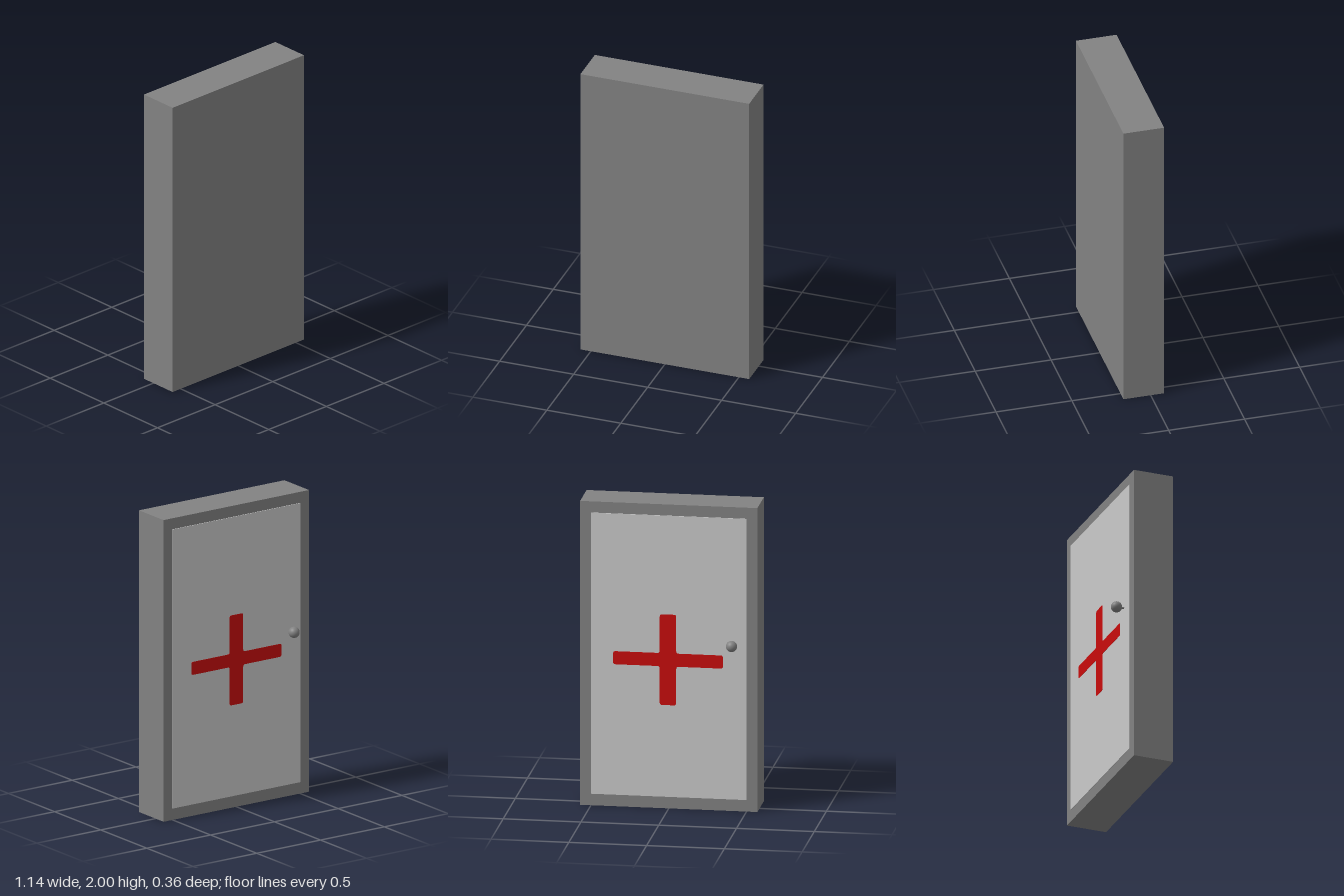
import * as THREE from 'three';

export function createModel() {
  const model = new THREE.Group();
  const mat = (name, color) => {
    const m = new THREE.MeshStandardMaterial({ color });
    m.name = name;
    return m;
  };
  const grey = mat('frame grey', 0x828282);
  const pale = mat('door pale grey', 0xcacaca);
  const red = mat('cross red', 0xc80c0c);

  const add = (name, geometry, material, x, y, z) => {
    const mesh = new THREE.Mesh(geometry, material);
    mesh.name = name;
    mesh.position.set(x, y, z);
    model.add(mesh);
    return mesh;
  };

  // Solid cabinet body
  add('body', new THREE.BoxGeometry(1.14, 2, 0.268), grey, 0, 1, 0.046);

  // Thin door panel on the back face
  add('doorPanel', new THREE.BoxGeometry(1, 1.85, 0.006), pale, 0, 1.002, -0.09);

  // Cross outline: rounded arm tips and small fillets in the inner corners
  const X = 0.353, Y = 0.298, w = 0.053, h = 0.043, r = 0.015;
  const corners = [
    [X, -h], [X, h], [w, h], [w, Y], [-w, Y], [-w, h],
    [-X, h], [-X, -h], [-w, -h], [-w, -Y], [w, -Y], [w, -h],
  ].map(([x, y]) => new THREE.Vector2(x, y));
  const cross = new THREE.Shape();
  corners.forEach((c, i) => {
    const n = corners.length;
    const toward = (p) => p.clone().sub(c).setLength(r).add(c);
    const a = toward(corners[(i + n - 1) % n]);
    const b = toward(corners[(i + 1) % n]);
    if (i === 0) cross.moveTo(a.x, a.y);
    else cross.lineTo(a.x, a.y);
    cross.quadraticCurveTo(c.x, c.y, b.x, b.y);
  });
  cross.closePath();
  const crossGeometry = new THREE.ExtrudeGeometry(cross, { depth: 0.002, bevelEnabled: false, curveSegments: 4 });
  add('cross', crossGeometry, red, 0.004, 0.979, -0.0945);

  // Door knob on a short stem
  add('knobStem', new THREE.CylinderGeometry(0.006, 0.006, 0.055, 16), grey, -0.412, 1.098, -0.1185)
    .rotation.x = Math.PI / 2;
  add('knob', new THREE.SphereGeometry(0.036, 32, 20), grey, -0.412, 1.098, -0.144);

  return model;
}
